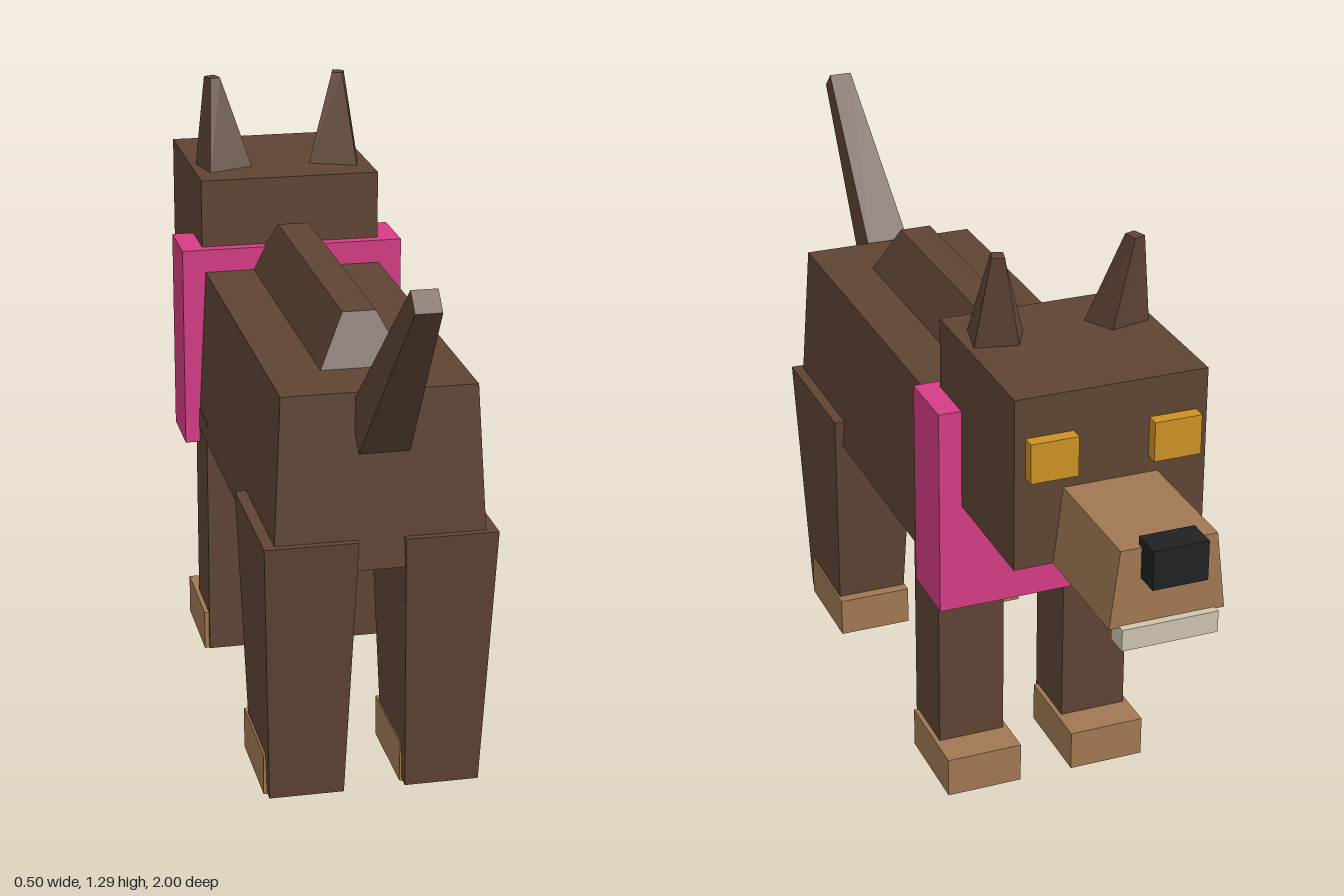
import * as THREE from 'three';

const material = (name, color) => {
  const m = new THREE.MeshStandardMaterial({ color });
  m.name = name;
  return m;
};

// Corners of a horizontal rectangle at height y
const rect = (y, x0, x1, z0, z1) => [[x0, y, z0], [x0, y, z1], [x1, y, z1], [x1, y, z0]];
const mirrored = (ring) => ring.map(([x, y, z]) => [-x, y, z]);

// Six-sided block between two four-cornered rings, with flat faces
function blockGeometry(base, end) {
  const p = [...base, ...end];
  const v = p.map((c) => new THREE.Vector3(...c));
  const turn = v[1].clone().sub(v[0]).cross(v[2].clone().sub(v[0]));
  const flip = turn.dot(v[4].clone().sub(v[0])) < 0;
  const quads = [[3, 2, 1, 0], [4, 5, 6, 7]];
  for (let i = 0; i < 4; i++) {
    const j = (i + 1) % 4;
    quads.push([i, j, j + 4, i + 4]);
  }
  const positions = [];
  for (const q of quads) {
    const [a, b, c, d] = flip ? [...q].reverse() : q;
    for (const k of [a, b, c, a, c, d]) positions.push(...p[k]);
  }
  const g = new THREE.BufferGeometry();
  g.setAttribute('position', new THREE.Float32BufferAttribute(positions, 3));
  g.computeVertexNormals();
  return g;
}

export function createModel() {
  const fur = material('brown fur', 0x5f4434);
  const tan = material('tan fur', 0xa07852);
  const pink = material('pink collar', 0xd43c86);
  const amber = material('amber eye', 0xcc9124);
  const black = material('black nose', 0x202122);
  const cream = material('cream chin', 0xcdc4ae);

  const model = new THREE.Group();
  model.name = 'dog';

  const block = (name, mat, base, end) => {
    const mesh = new THREE.Mesh(blockGeometry(base, end), mat);
    mesh.name = name;
    model.add(mesh);
  };
  const box = (name, mat, x0, x1, y0, y1, z0, z1) =>
    block(name, mat, rect(y0, x0, x1, z0, z1), rect(y1, x0, x1, z0, z1));
  const pair = (name, mat, base, end) => {
    block('left' + name, mat, base, end);
    block('right' + name, mat, mirrored(base), mirrored(end));
  };
  const boxPair = (name, mat, x0, x1, y0, y1, z0, z1) =>
    pair(name, mat, rect(y0, x0, x1, z0, z1), rect(y1, x0, x1, z0, z1));

  // Body, narrower at the top, with a ridge along the back
  block('body', fur, rect(0.515, -0.22, 0.22, -0.32, 0.65), rect(0.885, -0.2, 0.2, -0.3, 0.628));
  block('backRidge', fur, rect(0.88, -0.092, 0.092, -0.275, 0.487), rect(0.99, -0.035, 0.035, -0.235, 0.438));

  // Collar
  box('collar', pink, -0.252, 0.252, 0.48, 0.937, -0.39, -0.242);

  // Head, muzzle, nose, chin and eyes
  box('head', fur, -0.203, 0.203, 0.72, 1.09, -0.675, -0.268);
  block('muzzle', tan, rect(0.72, -0.12, 0.12, -0.948, -0.67), rect(0.885, -0.1, 0.1, -0.948, -0.67));
  box('nose', black, -0.057, 0.057, 0.82, 0.903, -1, -0.935);
  box('chin', cream, -0.1, 0.1, 0.678, 0.724, -0.965, -0.915);
  boxPair('Eye', amber, 0.08, 0.18, 0.92, 1.005, -0.703, -0.67);

  // Ears, turned outwards and leaning towards the face
  pair('Ear', fur,
    [[0.065, 1.085, -0.38], [0.17, 1.085, -0.335], [0.19, 1.085, -0.425], [0.1, 1.085, -0.447]],
    [[0.13, 1.288, -0.43], [0.153, 1.288, -0.422], [0.163, 1.288, -0.452], [0.138, 1.288, -0.462]]);

  // Tail, tapering up and back
  block('tail', fur,
    [[-0.052, 0.77, 0.668], [0.052, 0.77, 0.668], [0.052, 0.845, 0.595], [-0.052, 0.845, 0.595]],
    [[-0.026, 1.157, 1], [0.026, 1.157, 1], [0.026, 1.192, 0.964], [-0.026, 1.192, 0.964]]);

  // Legs and paws
  pair('BackLeg', fur, rect(0.003, 0.065, 0.222, 0.39, 0.607), rect(0.58, 0.048, 0.24, 0.335, 0.662));
  boxPair('BackPaw', tan, 0.06, 0.229, 0, 0.09, 0.357, 0.58);
  boxPair('FrontLeg', fur, 0.07, 0.219, 0.003, 0.56, -0.29, -0.142);
  boxPair('FrontPaw', tan, 0.06, 0.229, 0, 0.09, -0.37, -0.152);

  return model;
}
